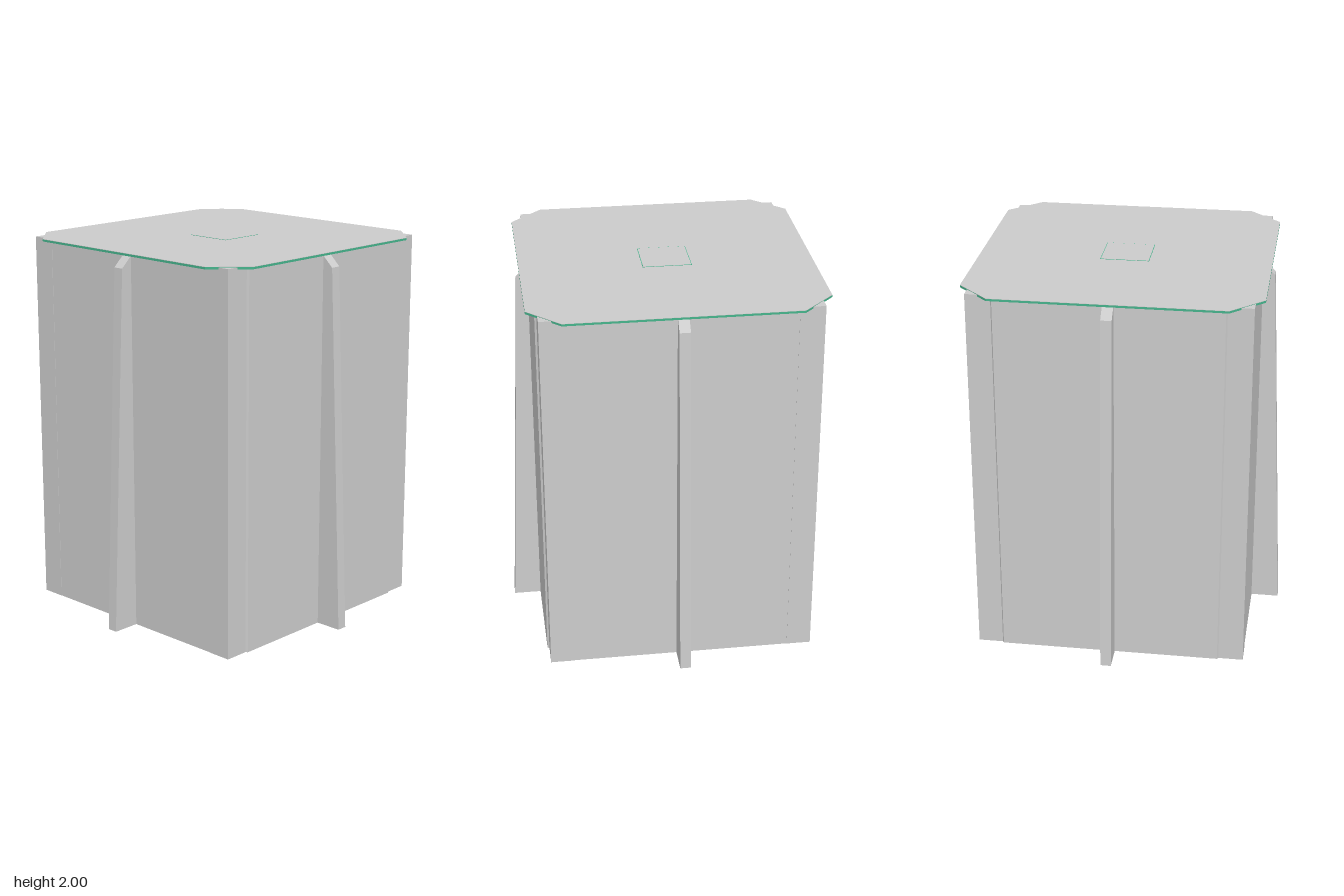
import * as THREE from 'three';

const grey = new THREE.MeshStandardMaterial({ color: 0xcccccc, flatShading: true });
const green = new THREE.MeshStandardMaterial({ color: 0x46b48c, flatShading: true });

function shapeOf(points) {
  return new THREE.Shape(points.map(([x, y]) => new THREE.Vector2(x, y)));
}

// Horizontal slab: outline in x/z, raised from y0 to y1
function slab(name, points, y0, y1, material) {
  const geometry = new THREE.ExtrudeGeometry(shapeOf(points), { depth: y1 - y0, bevelEnabled: false });
  geometry.rotateX(-Math.PI / 2);
  geometry.translate(0, y0, 0);
  const mesh = new THREE.Mesh(geometry, material);
  mesh.name = name;
  return mesh;
}

// Square outline with cut corners
function cutSquare(half, cut) {
  const a = half, b = half - cut;
  return [[a, -b], [a, b], [b, a], [-b, a], [-a, b], [-a, -b], [-b, -a], [b, -a]];
}

export function createModel() {
  const group = new THREE.Group();

  // Main block, with side panels standing slightly proud of the corner posts
  const post = 0.702, panel = 0.712, front = 0.709, seam = 0.575;
  const quarter = [[panel, 0], [panel, seam], [post, seam + 0.007], [post, front]];
  const mirrored = quarter.slice(1).reverse().map(([x, z]) => [-x, z]);
  const upper = [...quarter, ...mirrored];
  const outline = [...upper, ...upper.map(([x, z]) => [-x, -z])];
  group.add(slab('body', outline, 0, 1.994, grey));

  // Corner seams on the front and back faces
  for (const x of [-1, 1]) {
    for (const z of [-1, 1]) {
      const strip = new THREE.Mesh(new THREE.BoxGeometry(0.128, 1.994, 0.004), grey);
      strip.name = 'cornerStrip';
      strip.position.set(x * 0.638, 0.997, z * 0.709);
      group.add(strip);
    }
  }

  // Overhanging lid: green rim below a thin grey cover
  group.add(slab('lidRim', cutSquare(0.757, 0.165), 1.985, 1.996, green));
  group.add(slab('lidCover', cutSquare(0.757, 0.165), 1.996, 1.998, grey));

  // Square hatch in the middle of the lid, with a green border
  group.add(slab('hatchBorder', cutSquare(0.127, 0.001), 1.996, 1.9992, green));
  group.add(slab('hatch', cutSquare(0.124, 0.001), 1.996, 2, grey));

  // Tapered fin on each of the four sides
  const profile = shapeOf([[0.69, 0], [0.856, 0], [0.77, 1.92], [0.712, 1.975], [0.69, 1.975]]);
  const finGeometry = new THREE.ExtrudeGeometry(profile, { depth: 0.056, bevelEnabled: false });
  finGeometry.translate(0, 0, -0.028);
  for (let i = 0; i < 4; i++) {
    const fin = new THREE.Mesh(finGeometry, grey);
    fin.name = 'fin';
    fin.rotation.y = i * Math.PI / 2;
    group.add(fin);
  }

  return group;
}
